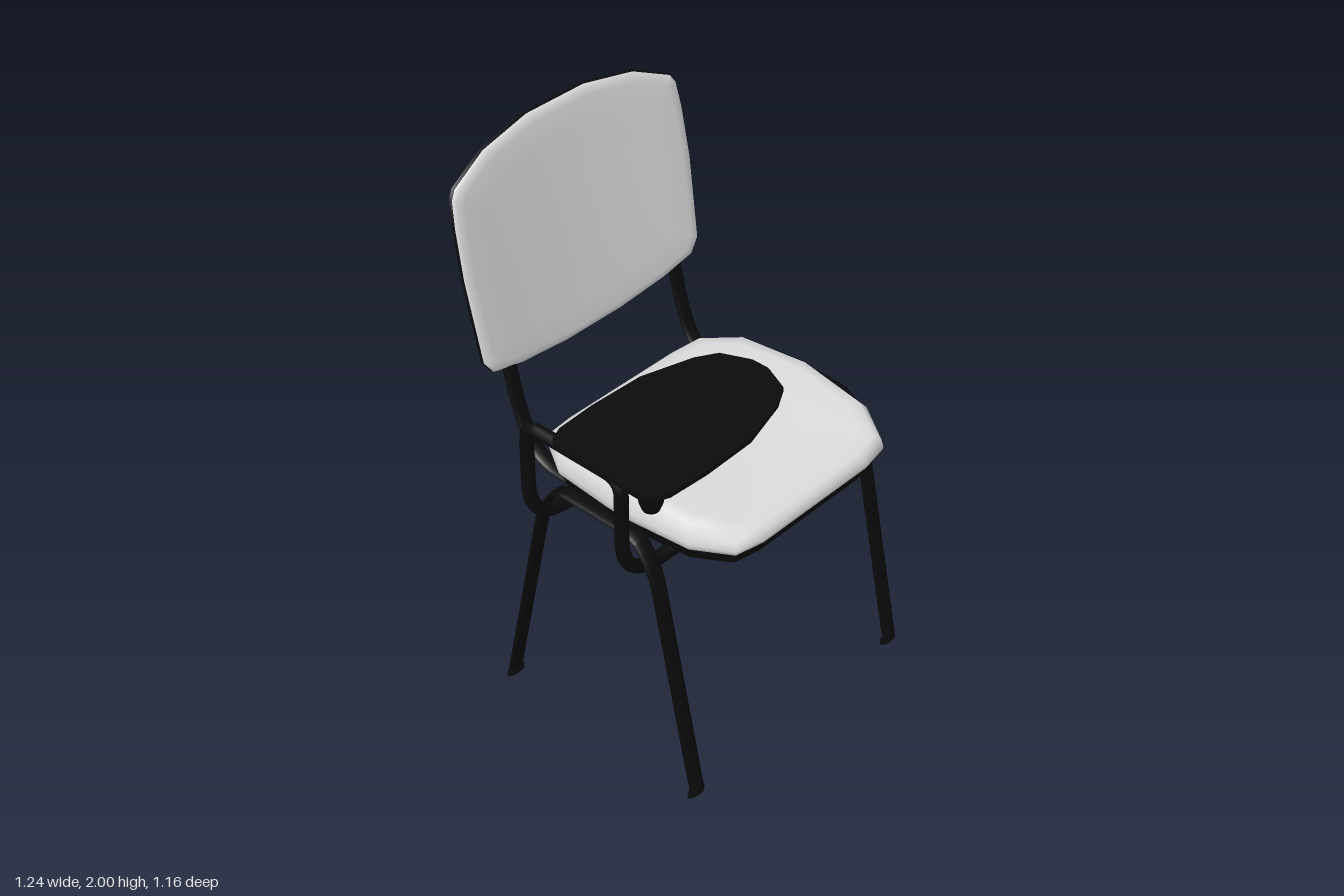
import * as THREE from 'three';
import { toCreasedNormals } from 'three/addons/utils/BufferGeometryUtils.js';

const CX = 0.075; // centre line of the chair, the writing arm overhangs to the right

// Polyline with rounded corners; each point is [x, y, z, cornerRadius]
function roundedPath(points) {
  const path = new THREE.CurvePath();
  const p = points.map(([x, y, z]) => new THREE.Vector3(x, y, z));
  let from = p[0];
  for (let i = 1; i < p.length - 1; i++) {
    const r = points[i][3];
    const a = p[i].clone().add(p[i - 1].clone().sub(p[i]).setLength(r));
    const b = p[i].clone().add(p[i + 1].clone().sub(p[i]).setLength(r));
    path.add(new THREE.LineCurve3(from, a));
    path.add(new THREE.QuadraticBezierCurve3(a, p[i], b));
    from = b;
  }
  path.add(new THREE.LineCurve3(from, p[p.length - 1]));
  return path;
}

// Flat oval tube lying in a plane of constant x, widened along x
function flatTube(points, halfWidth, halfThick) {
  const path = roundedPath(points.map(([z, y, r]) => [0, y, z, r]));
  return new THREE.TubeGeometry(path, 80, halfThick, 12).scale(halfWidth / halfThick, 1, 1);
}

// Right half of an outline, counter-clockwise, completed by mirroring
const mirrorOutline = (half) => [...half, ...half.map(([u, v]) => [-u, v]).reverse()];

// Closed body from scaled copies of an outline; layers are [scale, depth]
function loft(outline, centreV, layers, place) {
  const pos = [], idx = [], n = outline.length, last = layers.length - 1;
  for (const [s, d] of layers)
    for (const [u, v] of outline) pos.push(...place(u * s, centreV + (v - centreV) * s, d));
  for (let k = 0; k < last; k++)
    for (let i = 0; i < n; i++) {
      const j = (i + 1) % n, a = k * n + i, b = k * n + j;
      idx.push(a, b, b + n, a, b + n, a + n);
    }
  const bottom = pos.length / 3, top = bottom + 1;
  pos.push(...place(0, centreV, layers[0][1]), ...place(0, centreV, layers[last][1]));
  for (let i = 0; i < n; i++) {
    const j = (i + 1) % n;
    idx.push(bottom, j, i, top, last * n + i, last * n + j);
  }
  const g = new THREE.BufferGeometry();
  g.setAttribute('position', new THREE.Float32BufferAttribute(pos, 3));
  g.setIndex(idx);
  g.computeVertexNormals();
  return g;
}

export function createModel() {
  const model = new THREE.Group();
  const black = new THREE.MeshStandardMaterial({ name: 'black', color: 0x0b0b0b, side: THREE.DoubleSide });
  const white = new THREE.MeshStandardMaterial({ name: 'white upholstery', color: 0xdcdcdc });
  const add = (name, geometry, material, x = 0, y = 0, z = 0) => {
    const m = new THREE.Mesh(geometry, material);
    m.name = name;
    m.position.set(x, y, z);
    model.add(m);
    return m;
  };

  // Seat: dished cushion with a falling front edge, on a shallow pan (v = -z)
  const seatOutline = mirrorOutline([
    [0.255, -0.58], [0.365, -0.56], [0.445, -0.43], [0.475, -0.15],
    [0.455, 0.13], [0.37, 0.265], [0.255, 0.285],
  ]);
  const seatPlace = (u, v, d) => {
    const w = (d - 0.95) / 0.1;
    const lift = 0.02 * (u / 0.4) ** 2 - 0.05 * ((v + 0.12) / 0.46) ** 2;
    return [CX + u, d + w * lift, -v];
  };
  add('seatCushion', loft(seatOutline, -0.147, [
    [0.97, 0.95], [0.995, 0.965], [1, 0.985], [0.985, 1.025], [0.94, 1.045],
    [0.85, 1.052], [0.6, 1.054], [0.3, 1.054],
  ], seatPlace), white);
  add('seatPan', toCreasedNormals(loft(seatOutline, -0.147, [
    [0.8, 0.897], [0.94, 0.906], [0.975, 0.955],
  ], (u, v, d) => [CX + u, d, -v]), 0.6), black);

  // Backrest: leaning, wrapped slightly forward at both sides
  const backOutline = mirrorOutline([
    [0.13, 1.19], [0.34, 1.215], [0.475, 1.25], [0.51, 1.3], [0.525, 1.6],
    [0.52, 1.78], [0.51, 1.87], [0.49, 1.9], [0.34, 1.965], [0.13, 2.0],
  ]);
  const backPlace = (u, v, d) =>
    [CX + u, v, -0.44 - 0.183 * (v - 1.2) + d + 0.03 * (u / 0.5) ** 2];
  add('backShell', toCreasedNormals(loft(backOutline, 1.595, [
    [0.5, 0], [0.88, 0], [0.97, 0.006], [1, 0.016], [0.995, 0.026],
  ], backPlace), 0.6), black);
  add('backCushion', loft(backOutline, 1.595, [
    [0.99, 0.022], [0.995, 0.028], [0.975, 0.038], [0.92, 0.044], [0.75, 0.046], [0.4, 0.046],
  ], backPlace), white);

  // Side frames: one bent oval tube makes a front and a back leg
  const frame = flatTube([
    [0.54, 0], [0.345, 0.9, 0.1], [0.27, 0.972, 0.045],
    [-0.06, 0.972, 0.045], [-0.135, 0.9, 0.1], [-0.33, 0],
  ], 0.033, 0.011);
  const foot = new THREE.CylinderGeometry(1, 1, 0.014, 20).scale(0.04, 1, 0.014);
  // Back supports: flat bars running below the seat and up into the backrest
  const support = flatTube([
    [0.35, 0.898], [-0.29, 0.912, 0.12], [-0.365, 1.08, 0.07], [-0.43, 1.34],
  ], 0.03, 0.012);
  for (const [side, s] of [['left', 1], ['right', -1]]) {
    const x = CX + s * 0.508;
    add(side + 'LegFrame', frame, black, x);
    add(side + 'FrontFoot', foot, black, x, 0.007, 0.532);
    add(side + 'BackFoot', foot, black, x, 0.007, -0.325);
    add(side + 'BackSupport', support, black, CX + s * 0.395);
  }

  // Cross bars and armrest bent from one round tube
  const arm = roundedPath([
    [0.57, 0.863, 0.31], [-0.54, 0.863, 0.31, 0.18], [-0.54, 1.275, 0.31, 0.06],
    [-0.54, 1.275, -0.1, 0.06], [-0.54, 0.863, -0.1, 0.18], [0.57, 0.863, -0.1],
  ]);
  add('armTube', new THREE.TubeGeometry(arm, 160, 0.024, 12), black);

  // Writing tablet
  const half = [[0.12, 0.033], [0.075, 0.135], [0, 0.178], [-0.19, 0.233], [-0.4, 0.24],
    [-0.55, 0.232], [-0.6, 0.212], [-0.62, 0.18]];
  const tablet = [...half, ...half.map(([x, z]) => [x, -z]).reverse()]
    .map(([x, z]) => new THREE.Vector2(x, z + 0.292));
  add('writingTablet', new THREE.ExtrudeGeometry(new THREE.Shape(tablet),
    { depth: 0.016, bevelEnabled: false }).rotateX(Math.PI / 2), black, 0, 1.35, 0);

  // Tablet pivot and its arm
  const knob = [[0, 0], [0.028, 0.004], [0.038, 0.03], [0.042, 0.06], [0.052, 0.075], [0.052, 0.105]];
  add('tabletPivot', new THREE.LatheGeometry(knob.map(([r, y]) => new THREE.Vector2(r, y)), 20),
    black, -0.54, 1.232, 0.435);
  add('pivotArm', new THREE.CylinderGeometry(0.014, 0.014, 0.14, 12).rotateX(Math.PI / 2),
    black, -0.54, 1.262, 0.365);

  return model;
}
